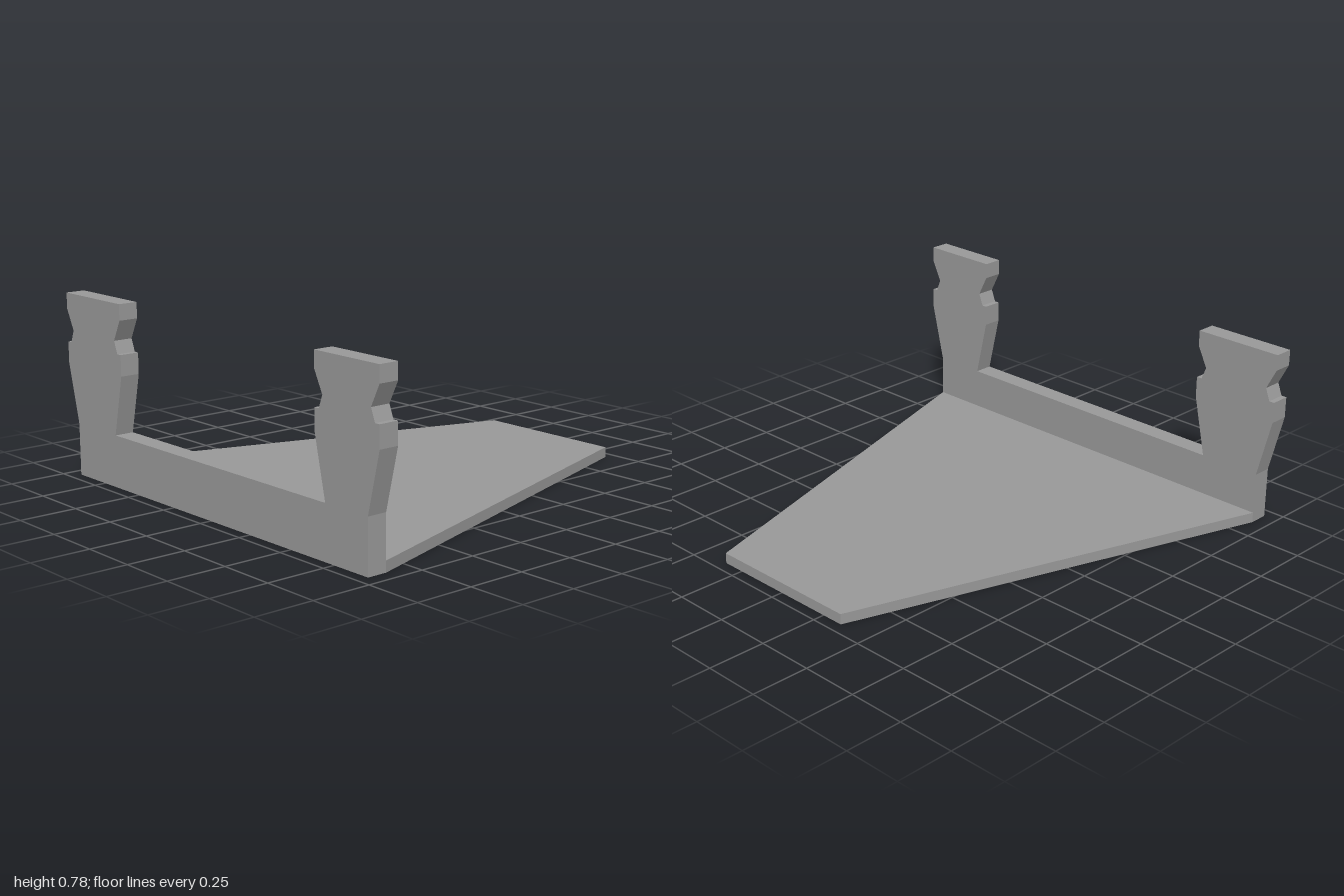
import * as THREE from 'three';

const WALL_BACK = -0.95, WALL_FRONT = -0.865, PLATE_TOP = 0.045, RAIL_TOP = 0.223;

const shapeOf = (points) => new THREE.Shape(points.map(([x, y]) => new THREE.Vector2(x, y)));
const extrude = (points, depth) =>
  new THREE.ExtrudeGeometry(shapeOf(points), { depth, bevelEnabled: false });

// One side of a notched post, from foot to top; dir points away from the post's middle
function postSide(edge, foot, top, dir) {
  return [
    [foot, RAIL_TOP],
    [edge, top - 0.3],
    [edge, top - 0.21],
    [edge - dir * 0.024, top - 0.21],
    [edge - dir * 0.045, top - 0.157],
    [edge, top - 0.068],
    [edge, top],
  ];
}

export function createModel() {
  const group = new THREE.Group();
  const grey = new THREE.MeshStandardMaterial({ color: 0x999999 });
  grey.name = 'plain grey';

  const add = (name, geometry) => {
    const mesh = new THREE.Mesh(geometry, grey);
    mesh.name = name;
    group.add(mesh);
  };

  // Upright bracket: low rail with two notched posts, drawn as (z, y)
  const bracket = extrude([
    [-0.937, 0],
    [0.937, 0],
    ...postSide(1, 0.937, 0.775, 1),
    ...postSide(0.647, 0.703, 0.775, -1).reverse(),
    ...postSide(-0.601, -0.658, 0.78, 1),
    ...postSide(-1, -0.937, 0.78, -1).reverse(),
  ], WALL_FRONT - WALL_BACK);
  bracket.rotateY(-Math.PI / 2).translate(WALL_FRONT, 0, 0);
  add('bracket', bracket);

  // Tapered base plate, drawn as (x, z)
  const plate = extrude([
    [WALL_FRONT, -0.937],
    [0.95, -0.35],
    [0.95, 0.35],
    [WALL_FRONT, 0.937],
  ], PLATE_TOP);
  plate.rotateX(Math.PI / 2).translate(0, PLATE_TOP, 0);
  add('basePlate', plate);

  return group;
}
